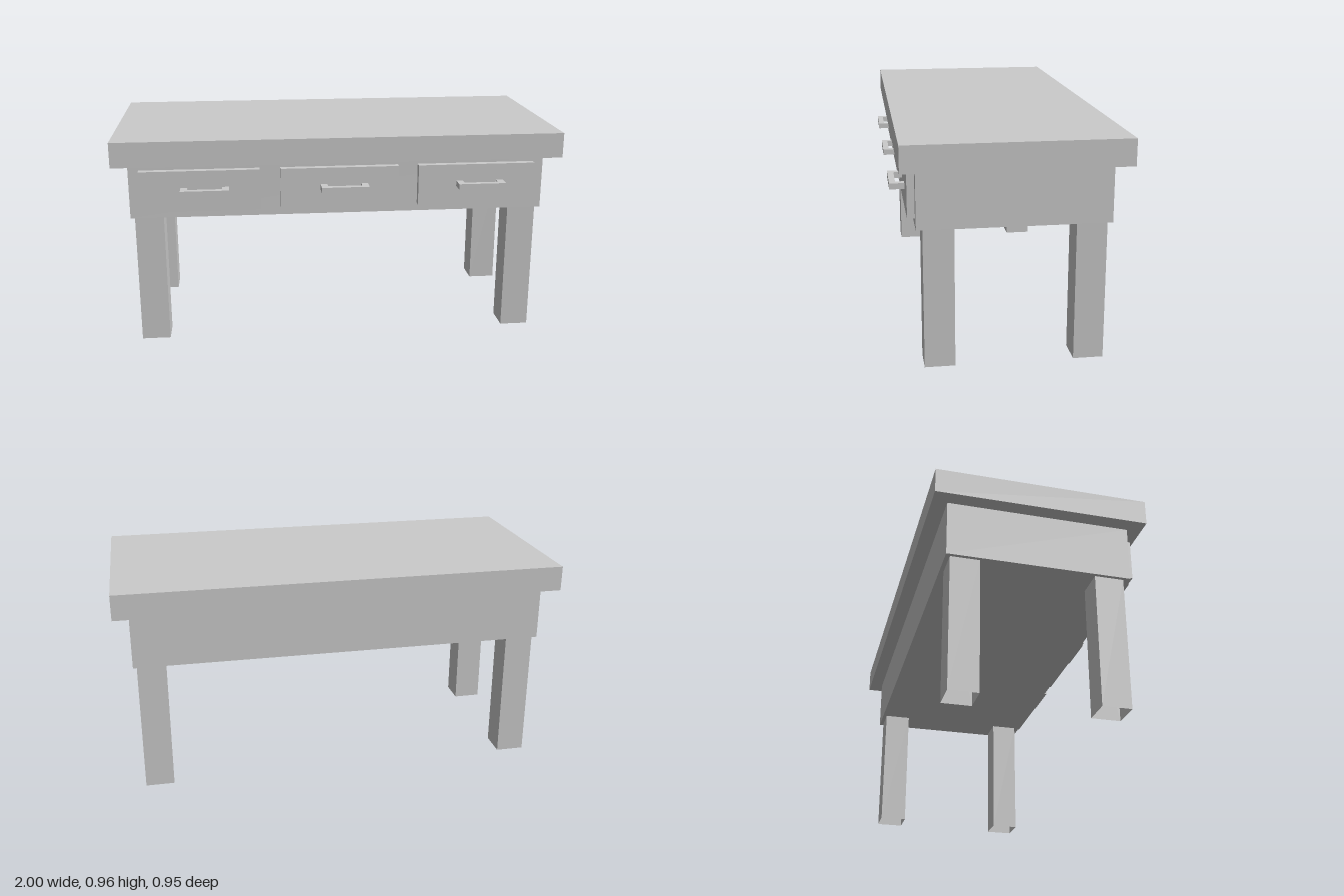
import * as THREE from 'three';

const material = new THREE.MeshStandardMaterial({ color: 0xcccccc, flatShading: true });
const openMaterial = new THREE.MeshStandardMaterial({ color: 0xcccccc, flatShading: true, side: THREE.DoubleSide });

// Box given by its extents along each axis
function box(name, [x0, x1], [y0, y1], [z0, z1]) {
  const mesh = new THREE.Mesh(new THREE.BoxGeometry(x1 - x0, y1 - y0, z1 - z0), material);
  mesh.position.set((x0 + x1) / 2, (y0 + y1) / 2, (z0 + z1) / 2);
  mesh.name = name;
  return mesh;
}

// Square leg, a tube with open ends
function leg(name, x, z) {
  const geometry = new THREE.CylinderGeometry(Math.SQRT1_2, Math.SQRT1_2, 1, 4, 1, true);
  geometry.rotateY(Math.PI / 4).scale(0.128, 0.598, 0.127);
  const mesh = new THREE.Mesh(geometry, openMaterial);
  mesh.position.set(x, 0.299, z);
  mesh.name = name;
  return mesh;
}

// U-shaped pull: two posts joined by a bar, outlined from above
function handle(name, x) {
  const w = 0.106, d = 0.062, post = 0.03, bar = 0.026;
  const shape = new THREE.Shape([
    [-w, 0], [-w + post, 0], [-w + post, d - bar], [w - post, d - bar],
    [w - post, 0], [w, 0], [w, d], [-w, d],
  ].map(([px, pz]) => new THREE.Vector2(px, pz)));
  const geometry = new THREE.ExtrudeGeometry(shape, { depth: 0.025, bevelEnabled: false });
  geometry.rotateX(Math.PI / 2);
  const mesh = new THREE.Mesh(geometry, material);
  mesh.position.set(x, 0.741, 0.416);
  mesh.name = name;
  return mesh;
}

export function createModel() {
  const desk = new THREE.Group();
  desk.name = 'desk';

  desk.add(box('tabletop', [-1, 1], [0.845, 0.957], [-0.477, 0.449]));
  desk.add(box('drawerCase', [-0.934, 0.931], [0.597, 0.845], [-0.412, 0.385]));

  // Legs
  for (const [side, x] of [['Right', -0.854], ['Left', 0.851]]) {
    desk.add(leg(`front${side}Leg`, x, 0.295));
    desk.add(leg(`back${side}Leg`, x, -0.33));
  }

  // Drawers, each with a pull set slightly off centre
  const drawers = [['right', -0.622, -0.6], ['middle', -0.001, 0.018], ['left', 0.619, 0.633]];
  for (const [side, x, handleX] of drawers) {
    desk.add(box(`${side}DrawerFront`, [x - 0.265, x + 0.265], [0.633, 0.816], [0.385, 0.416]));
    desk.add(handle(`${side}DrawerHandle`, handleX));
  }
  return desk;
}
